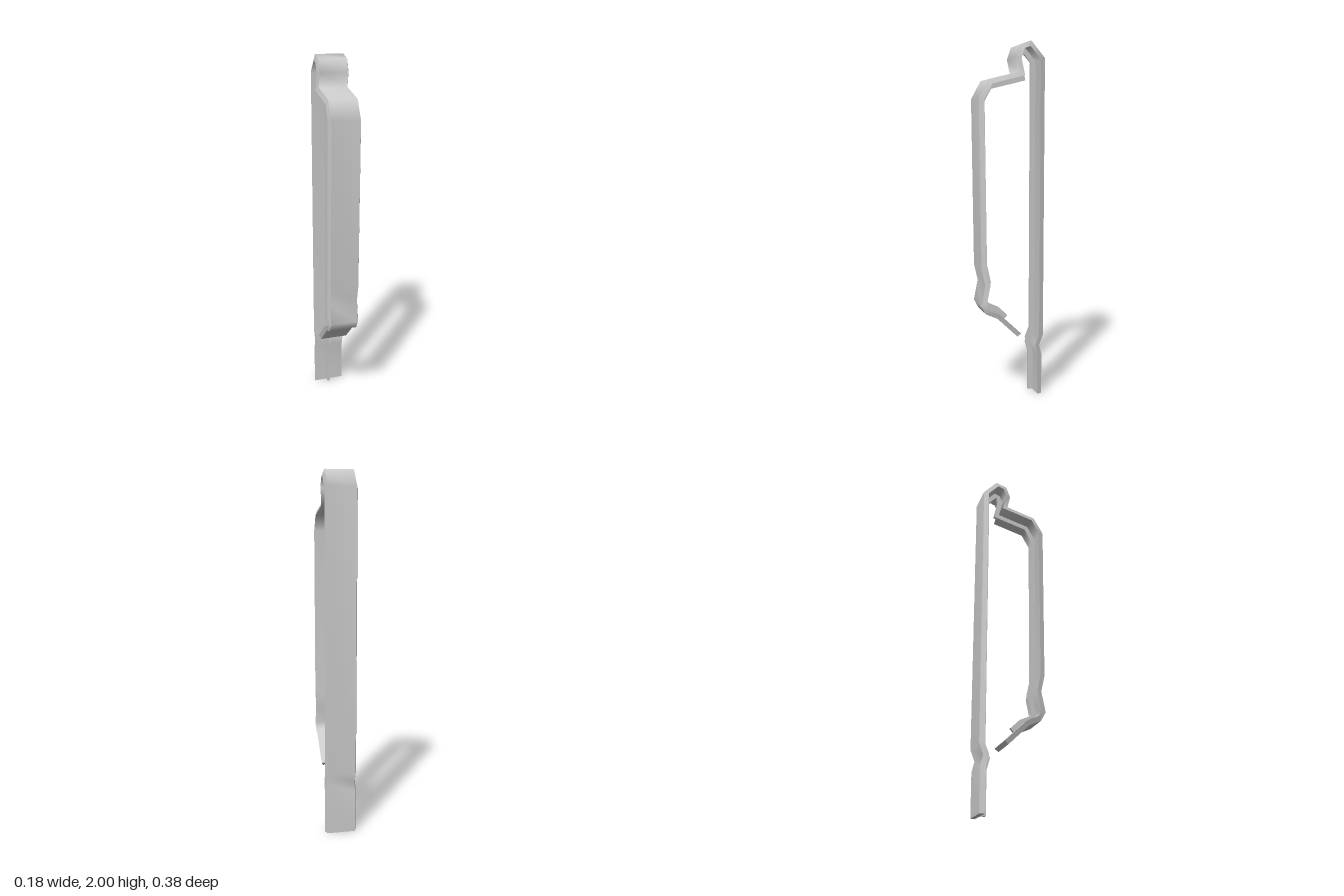
import * as THREE from 'three';

const material = new THREE.MeshStandardMaterial({ color: 0xcccccc });

// Outer line of the bent clip as [z, y]: up the back, over the top loop, down the front arm
const bend = [
  [-0.18, 0], [-0.18, 0.235], [-0.165, 0.29], [-0.188, 0.35], [-0.188, 1.91],
  [-0.108, 2.0], [-0.045, 1.977], [-0.021, 1.91], [-0.038, 1.833], [0.133, 1.79],
  [0.188, 1.69], [0.178, 0.76], [0.157, 0.665], [0.18, 0.55], [0.152, 0.5], [0.087, 0.47],
];
const stripPath = [...bend, [-0.033, 0.354]];
const ribPath = [...bend, [0.04, 0.425]];

// Mitred inward offset direction at each point of a path
function inwardMiters(path) {
  const normals = path.slice(1).map(([z, y], i) =>
    new THREE.Vector2(y - path[i][1], path[i][0] - z).normalize());
  return path.map((_, i) => {
    const a = normals[Math.max(i - 1, 0)];
    const b = normals[Math.min(i, normals.length - 1)];
    return a.clone().add(b).divideScalar(1 + a.dot(b));
  });
}

// Sweep a convex profile of [x, depth] points; smooth along the path, sharp between sides
function sweep(name, path, profile) {
  const miters = inwardMiters(path);
  const positions = [], index = [];
  const count = () => positions.length / 3;
  const add = (i, [x, d]) => positions.push(
    x, path[i][1] + miters[i].y * d, path[i][0] + miters[i].x * d);

  profile.forEach((p, k) => {
    const q = profile[(k + 1) % profile.length];
    const base = count();
    path.forEach((_, i) => {
      add(i, p);
      add(i, q);
      if (i === 0) return;
      const p0 = base + 2 * (i - 1), q0 = p0 + 1, p1 = p0 + 2, q1 = p0 + 3;
      index.push(p0, p1, q1, p0, q1, q0);
    });
  });

  // End caps
  for (const end of [0, path.length - 1]) {
    const c = count();
    profile.forEach((p) => add(end, p));
    if (end === 0) index.push(c, c + 1, c + 2, c, c + 2, c + 3);
    else index.push(c, c + 2, c + 1, c, c + 3, c + 2);
  }

  const geometry = new THREE.BufferGeometry();
  geometry.setAttribute('position', new THREE.Float32BufferAttribute(positions, 3));
  geometry.setIndex(index);
  geometry.computeVertexNormals();
  const mesh = new THREE.Mesh(geometry, material);
  mesh.name = name;
  return mesh;
}

export function createModel() {
  const group = new THREE.Group();
  group.name = 'springClip';

  // Flat band with bevelled sides, narrower on its outer face
  group.add(sweep('clipStrip', stripPath,
    [[-0.08, 0], [0.078, 0], [0.088, 0.027], [-0.089, 0.027]]));

  // Thin stiffening rib along the middle of the inner face
  group.add(sweep('innerRib', ribPath,
    [[-0.013, 0.024], [0.003, 0.024], [0.003, 0.054], [-0.013, 0.054]]));

  return group;
}
